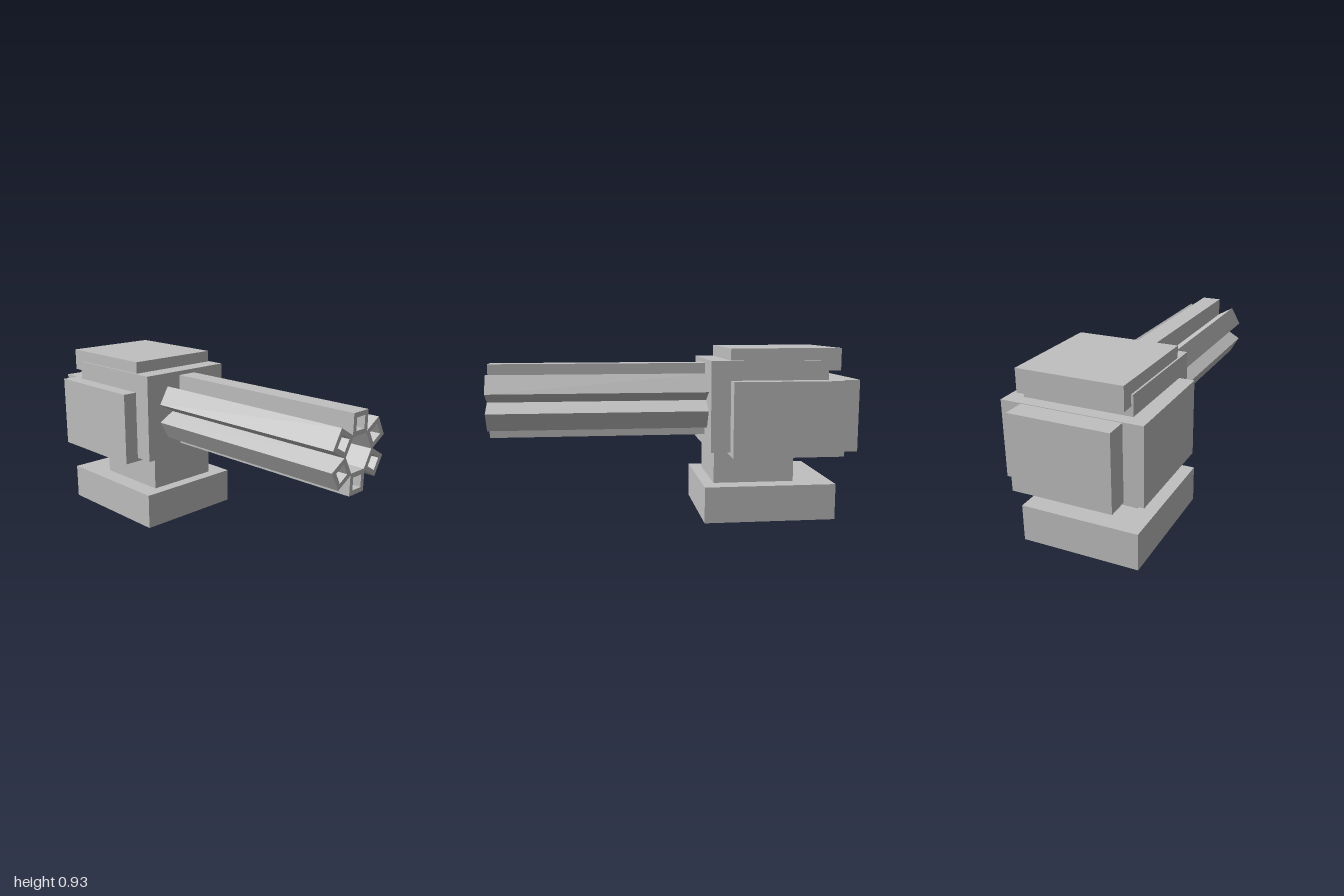
import * as THREE from 'three';

export function createModel() {
  const model = new THREE.Group();
  model.name = 'rotaryTurret';
  const grey = new THREE.MeshStandardMaterial({ color: 0xc0c0c0 });
  grey.name = 'light grey';

  // Box given by its lower and upper corners
  function block(name, [x0, y0, z0], [x1, y1, z1]) {
    const mesh = new THREE.Mesh(new THREE.BoxGeometry(x1 - x0, y1 - y0, z1 - z0), grey);
    mesh.position.set((x0 + x1) / 2, (y0 + y1) / 2, (z0 + z1) / 2);
    mesh.name = name;
    model.add(mesh);
  }

  // Stand
  block('base', [-0.325, 0, -0.865], [0.308, 0.197, -0.145]);
  block('neck', [-0.222, 0.197, -0.655], [0.205, 0.37, -0.21]);

  // Housing with its cheek, back and top armour
  block('housing', [-0.285, 0.38, -0.815], [0.282, 0.868, -0.18]);
  block('sideArmour', [-0.367, 0.36, -0.885], [0.365, 0.763, -0.285]);
  block('backPlate', [-0.265, 0.365, -1], [0.255, 0.76, -0.88]);
  block('topPlate', [-0.275, 0.812, -0.885], [0.272, 0.932, -0.285]);

  // Square tube profile shared by all barrels
  const square = (Type, h) => new Type([
    new THREE.Vector2(-h, -h), new THREE.Vector2(h, -h),
    new THREE.Vector2(h, h), new THREE.Vector2(-h, h),
  ]);
  const profile = square(THREE.Shape, 0.056);
  profile.holes.push(square(THREE.Path, 0.032));
  const tube = new THREE.ExtrudeGeometry(profile, { depth: 1.19, bevelEnabled: false });

  // Six barrels in a ring around an open middle
  const barrels = new THREE.Group();
  barrels.name = 'barrelCluster';
  barrels.position.set(0.004, 0.645, -0.19);
  for (let i = 0; i < 6; i++) {
    const angle = (i * Math.PI) / 3;
    const barrel = new THREE.Mesh(tube, grey);
    barrel.name = 'barrel' + (i + 1);
    barrel.position.set(-Math.sin(angle) * 0.144, Math.cos(angle) * 0.144, 0);
    barrel.rotation.z = angle;
    barrels.add(barrel);
  }
  model.add(barrels);
  return model;
}
